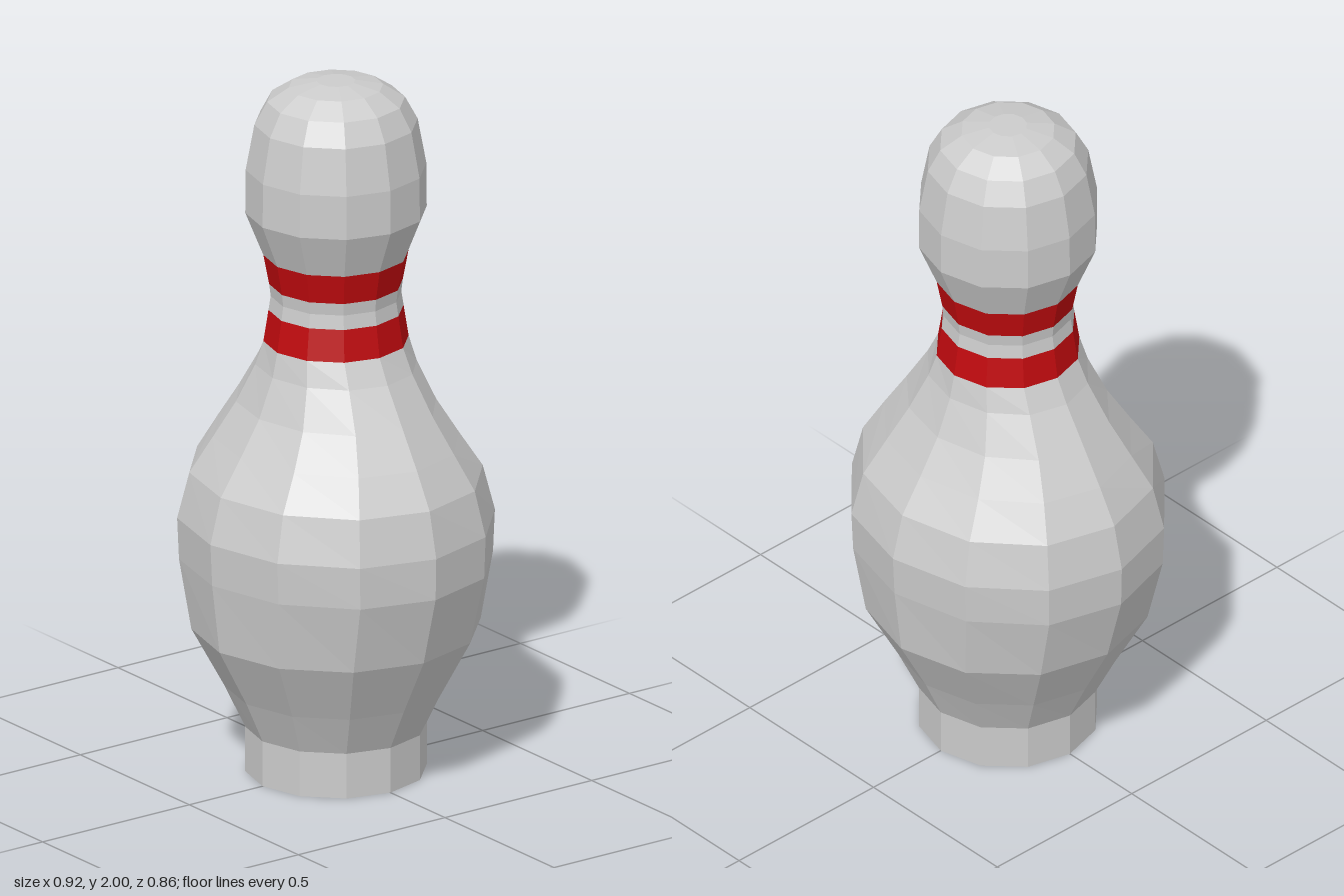
import * as THREE from 'three';

const SIDES = 12;
const white = new THREE.MeshStandardMaterial({ color: 0xcccccc, flatShading: true });
const red = new THREE.MeshStandardMaterial({ color: 0xc00a0e, flatShading: true });

// Lathe with oval rings; each ring is [y, half width in x, half depth in z]
function section(name, rings, material) {
  const points = rings.map(([y, rx]) => new THREE.Vector2(rx, y));
  const geometry = new THREE.LatheGeometry(points, SIDES);
  const pos = geometry.attributes.position;
  for (let i = 0; i < pos.count; i++) {
    const [, rx, rz = rx] = rings[i % rings.length];
    if (rx > 0) pos.setZ(i, pos.getZ(i) * rz / rx);
  }
  geometry.computeVertexNormals();
  const mesh = new THREE.Mesh(geometry, material);
  mesh.name = name;
  return mesh;
}

export function createModel() {
  const pin = new THREE.Group();
  pin.name = 'bowlingPin';
  pin.add(
    // Closed foot, swelling belly and shoulders
    section('body', [
      [0, 0], [0, 0.25], [0.13, 0.25], [0.25, 0.31, 0.305], [0.42, 0.402, 0.397],
      [0.62, 0.457, 0.422], [0.74, 0.46, 0.428], [0.87, 0.43, 0.393],
      [0.97, 0.372, 0.325], [1.07, 0.308, 0.262], [1.18, 0.237, 0.216], [1.25, 0.2],
    ], white),
    // Neck with two stripes
    section('lowerStripe', [[1.25, 0.2], [1.34, 0.186]], red),
    section('neck', [[1.34, 0.186], [1.38, 0.18], [1.415, 0.184]], white),
    section('upperStripe', [[1.415, 0.184], [1.5, 0.2]], red),
    // Rounded head
    section('head', [
      [1.5, 0.2], [1.625, 0.25], [1.75, 0.249], [1.88, 0.225],
      [1.945, 0.19], [1.985, 0.13], [2, 0.053], [2, 0],
    ], white),
  );
  return pin;
}
